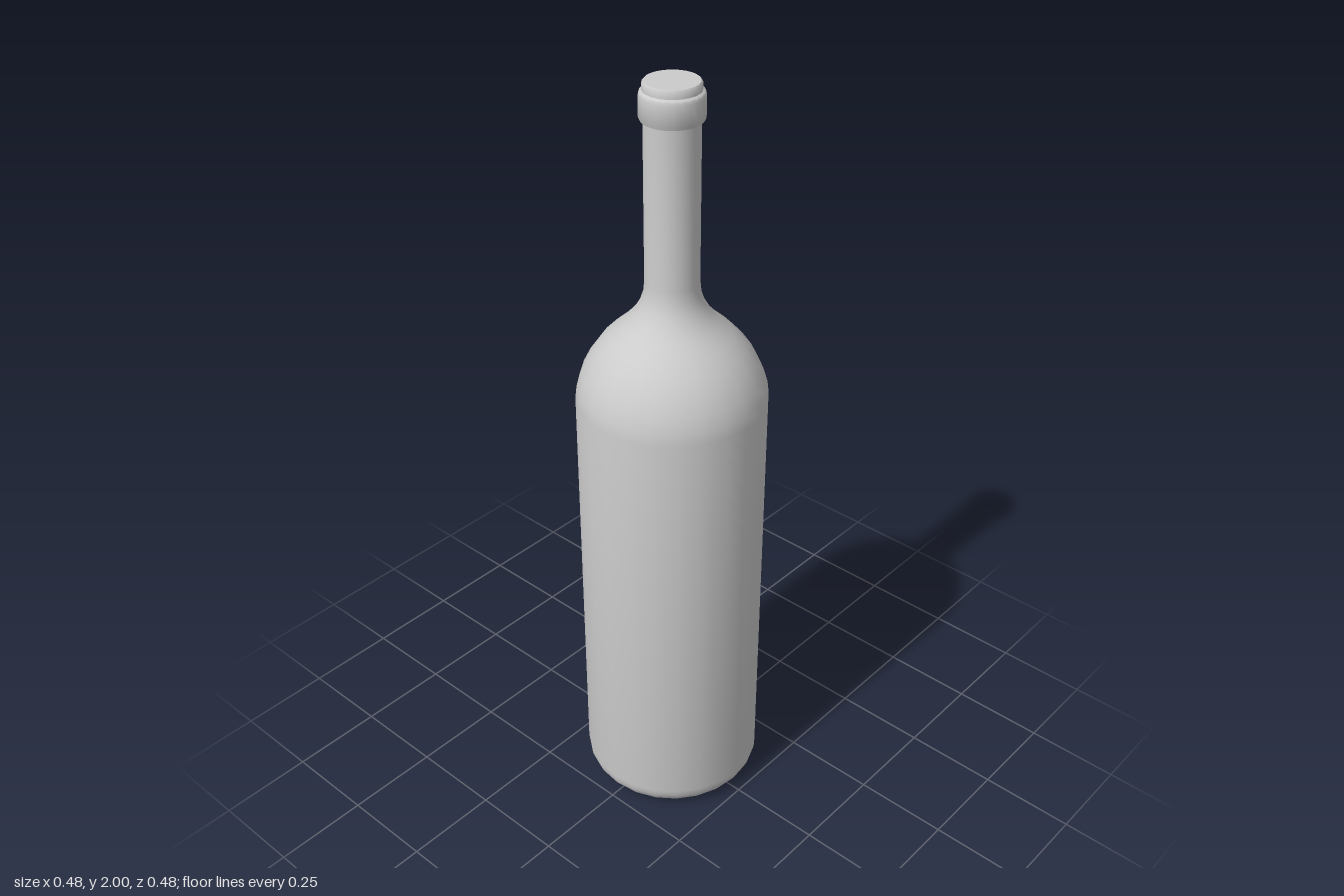
import * as THREE from 'three';
import { toCreasedNormals } from 'three/addons/utils/BufferGeometryUtils.js';

const SIDES = 24;

export function createModel() {
  const group = new THREE.Group();
  group.name = 'bottle';
  const material = new THREE.MeshStandardMaterial({ color: 0xcccccc });

  // Turns [radius, height] points, listed from the bottom up, into a solid
  const turn = (name, points) => {
    const profile = points.map(([r, y]) => new THREE.Vector2(r, y));
    const geometry = toCreasedNormals(new THREE.LatheGeometry(profile, SIDES), 0.75);
    const mesh = new THREE.Mesh(geometry, material);
    mesh.name = name;
    group.add(mesh);
  };

  // Shallow hollow under the base, then the rounded heel
  const base = [[0, 0.025], [0.09, 0.022], [0.13, 0.014], [0.155, 0.002], [0.17, 0]];
  const heel = [];
  for (let i = 1; i <= 6; i++) {
    const a = (i / 6) * Math.PI / 2;
    heel.push([0.172 + 0.066 * Math.sin(a), 0.066 * (1 - Math.cos(a))]);
  }

  // Straight wall, domed shoulder and flare into the neck
  const shoulder = [
    [0.238, 1.2], [0.234, 1.232], [0.222, 1.27], [0.204, 1.307], [0.18, 1.342],
    [0.15, 1.374], [0.118, 1.403], [0.094, 1.43], [0.078, 1.458], [0.069, 1.485], [0.066, 1.515],
  ];
  turn('body', [...base, ...heel, ...shoulder, [0.066, 1.92]]);

  // Raised lip around the mouth with a closed, flat top
  turn('lip', [
    [0.066, 1.912], [0.073, 1.912], [0.076, 1.918], [0.076, 1.968], [0.074, 1.976],
    [0.068, 1.98], [0.068, 1.995], [0.064, 2], [0, 2],
  ]);

  return group;
}
